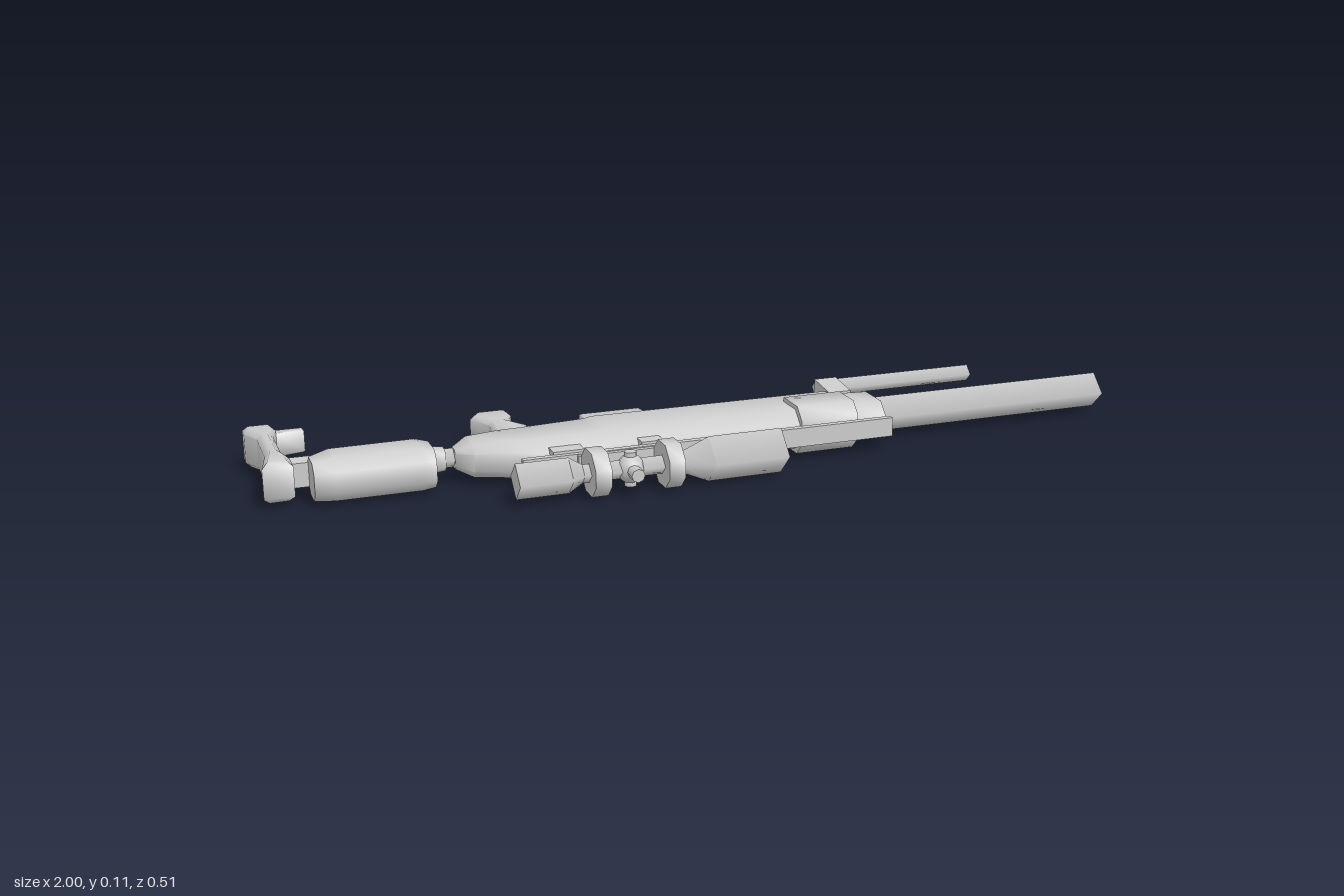
import * as THREE from 'three';
import { toCreasedNormals } from 'three/addons/utils/BufferGeometryUtils.js';

const MID = 0.06; // height of the symmetry plane the object lies on

export function createModel() {
  const model = new THREE.Group();
  const material = new THREE.MeshStandardMaterial({ color: 0xcccccc });

  function add(name, geometry, x = 0, y = MID, z = 0) {
    const mesh = new THREE.Mesh(geometry, material);
    mesh.name = name;
    mesh.position.set(x, y, z);
    model.add(mesh);
    return mesh;
  }

  // Chamfered sections along x; station: [x, zLow, zHigh, halfWidth, chamferLow, chamferHigh]
  function loft(name, stations) {
    const pos = [], index = [], n = 8;
    for (const [x, lo, hi, w, cl, ch] of stations) {
      const ring = [[w, lo + cl], [w, hi - ch], [w - ch, hi], [ch - w, hi],
        [-w, hi - ch], [-w, lo + cl], [cl - w, lo], [w - cl, lo]];
      for (const [y, z] of ring) pos.push(x, y, z);
    }
    const last = (stations.length - 1) * n;
    for (let i = 0; i < last; i += n) {
      for (let j = 0; j < n; j++) {
        const k = (j + 1) % n;
        index.push(i + j, i + k, i + n + k, i + j, i + n + k, i + n + j);
      }
    }
    for (let j = 1; j < n - 1; j++) {
      index.push(0, j + 1, j, last, last + j, last + j + 1);
    }
    const g = new THREE.BufferGeometry();
    g.setAttribute('position', new THREE.Float32BufferAttribute(pos, 3));
    g.setIndex(index);
    return add(name, toCreasedNormals(g, 0.85));
  }

  // Side outline in x and z, thickened in y with bevelled edges
  function plate(name, points, width, bevel, hole) {
    const toV = ([x, z]) => new THREE.Vector2(x, -z);
    const shape = new THREE.Shape(points.map(toV));
    if (hole) shape.holes.push(new THREE.Path(hole.map(toV)));
    const depth = width - 2 * bevel;
    const g = new THREE.ExtrudeGeometry(shape, {
      depth, bevelEnabled: bevel > 0, bevelSize: bevel, bevelOffset: -bevel,
      bevelThickness: bevel, bevelSegments: 1,
    });
    g.translate(0, 0, -depth / 2).rotateX(-Math.PI / 2);
    return add(name, toCreasedNormals(g, 0.85));
  }

  // Four-sided tube along x
  function tube(name, x0, x1, z, r0, r1 = r0, y = MID) {
    const g = new THREE.CylinderGeometry(r1, r0, x1 - x0, 4).rotateZ(-Math.PI / 2);
    return add(name, g, (x0 + x1) / 2, y, z);
  }

  // Box given by its x and z limits and its width
  function block(name, x0, x1, z0, z1, width) {
    return add(name, new THREE.BoxGeometry(x1 - x0, width, z1 - z0), (x0 + x1) / 2, MID, (z0 + z1) / 2);
  }

  // Receiver and fore-end
  loft('receiver', [
    [-0.585, -0.02, 0.02, 0.022, 0.008, 0.008],
    [-0.55, -0.045, 0.055, 0.036, 0.012, 0.016],
    [-0.48, -0.045, 0.07, 0.042, 0.014, 0.02],
    [-0.42, -0.042, 0.092, 0.044, 0.014, 0.026],
    [-0.28, -0.05, 0.096, 0.046, 0.015, 0.026],
    [-0.26, -0.064, 0.096, 0.046, 0.018, 0.026],
    [0.31, -0.06, 0.096, 0.046, 0.018, 0.026],
    [0.33, -0.03, 0.096, 0.046, 0.016, 0.026],
    [0.405, -0.027, 0.096, 0.044, 0.016, 0.026],
  ]);
  loft('shroud', [
    [0.19, 0, 0.107, 0.056, 0.002, 0.027],
    [0.33, 0, 0.107, 0.056, 0.002, 0.027],
  ]);
  tube('barrel', 0.4, 1, 0.031, 0.042);

  // Stock, its coupling and the butt
  tube('couplingRod', -0.65, -0.57, -0.004, 0.022);
  loft('couplingCollar', [
    [-0.638, -0.03, 0.022, 0.027, 0.01, 0.01],
    [-0.605, -0.025, 0.018, 0.024, 0.01, 0.01],
  ]);
  loft('stock', [
    [-0.895, -0.008, 0.076, 0.042, 0.016, 0.02],
    [-0.85, -0.035, 0.078, 0.047, 0.018, 0.024],
    [-0.665, -0.038, 0.078, 0.047, 0.018, 0.024],
    [-0.637, -0.025, 0.076, 0.042, 0.016, 0.02],
  ]);
  block('buttLink', -0.94, -0.885, -0.045, 0.0, 0.054);
  plate('butt', [
    [-1, -0.255], [-0.935, -0.255], [-0.93, -0.225], [-0.942, -0.18],
    [-0.942, -0.06], [-0.93, -0.02], [-0.93, 0.036], [-0.995, 0.036],
    [-0.978, -0.05], [-0.978, -0.18], [-1, -0.225],
  ], 0.09, 0.012);
  plate('buttToe', [
    [-0.95, -0.255], [-0.868, -0.255], [-0.868, -0.236], [-0.925, -0.222], [-0.95, -0.222],
  ], 0.054, 0.004);

  // Grip, trigger and guard
  plate('grip', [
    [-0.495, -0.02], [-0.475, -0.08], [-0.47, -0.145], [-0.5, -0.2], [-0.48, -0.23],
    [-0.41, -0.23], [-0.405, -0.195], [-0.425, -0.15], [-0.39, -0.095], [-0.39, -0.02],
  ], 0.056, 0.009);
  plate('triggerGuard', [
    [-0.4, -0.03], [-0.4, -0.108], [-0.3, -0.108], [-0.28, -0.09], [-0.28, -0.03],
  ], 0.026, 0, [[-0.39, -0.04], [-0.288, -0.04], [-0.288, -0.086], [-0.304, -0.1], [-0.39, -0.1]]);
  plate('trigger', [
    [-0.34, -0.035], [-0.345, -0.07], [-0.33, -0.095], [-0.322, -0.092], [-0.332, -0.07], [-0.325, -0.035],
  ], 0.012, 0);
  plate('magazine', [
    [-0.262, -0.05], [-0.262, -0.13], [-0.118, -0.13], [-0.108, -0.085], [-0.115, -0.05],
  ], 0.056, 0.004);

  // Folded bipod: the mount widens toward the legs
  const mount = new THREE.BoxGeometry(0.055, 0.092, 0.085);
  const p = mount.attributes.position;
  for (let i = 0; i < p.count; i++) if (p.getZ(i) < 0) p.setY(i, p.getY(i) * 1.22);
  mount.computeVertexNormals();
  add('bipodMount', mount, 0.345, MID, -0.068);
  for (const side of [-1, 1]) {
    tube('bipodLeg', 0.32, 0.727, -0.111, 0.02, 0.02, MID + side * 0.032);
  }

  // Top rail and its supports
  block('rail', -0.465, 0.405, 0.119, 0.134, 0.044);
  block('rearRailSupport', -0.395, -0.325, 0.085, 0.122, 0.056);
  block('frontRailSupport', -0.195, -0.145, 0.085, 0.122, 0.056);
  block('scopeBase', -0.345, -0.13, 0.13, 0.145, 0.04);
  plate('latch', [[0.005, 0.085], [0.035, 0.118], [0.046, 0.112], [0.025, 0.085]], 0.02, 0);

  // Scope
  const SZ = 0.2;
  tube('scopeEyepiece', -0.5, -0.385, SZ, 0.04);
  tube('scopeEyepieceTaper', -0.385, -0.355, SZ, 0.04, 0.021);
  tube('scopeTube', -0.36, -0.13, SZ, 0.021);
  tube('scopeBellTaper', -0.14, -0.07, SZ, 0.021, 0.051);
  tube('scopeBell', -0.07, 0.1, SZ, 0.051);
  for (const x of [-0.322, -0.158]) {
    loft('scopeRing', [
      [x - 0.018, 0.142, 0.25, 0.048, 0.03, 0.03],
      [x + 0.018, 0.142, 0.25, 0.048, 0.03, 0.03],
    ]);
  }
  add('scopeTurret', new THREE.SphereGeometry(0.032, 8, 6), -0.248, MID, SZ);
  add('topKnob', new THREE.CylinderGeometry(0.015, 0.015, 0.03, 8).rotateX(Math.PI / 2), -0.248, MID, 0.24);
  for (const side of [-1, 1]) {
    add('sideKnob', new THREE.CylinderGeometry(0.014, 0.014, 0.02, 8), -0.248, MID + side * 0.028, SZ);
  }
  return model;
}
